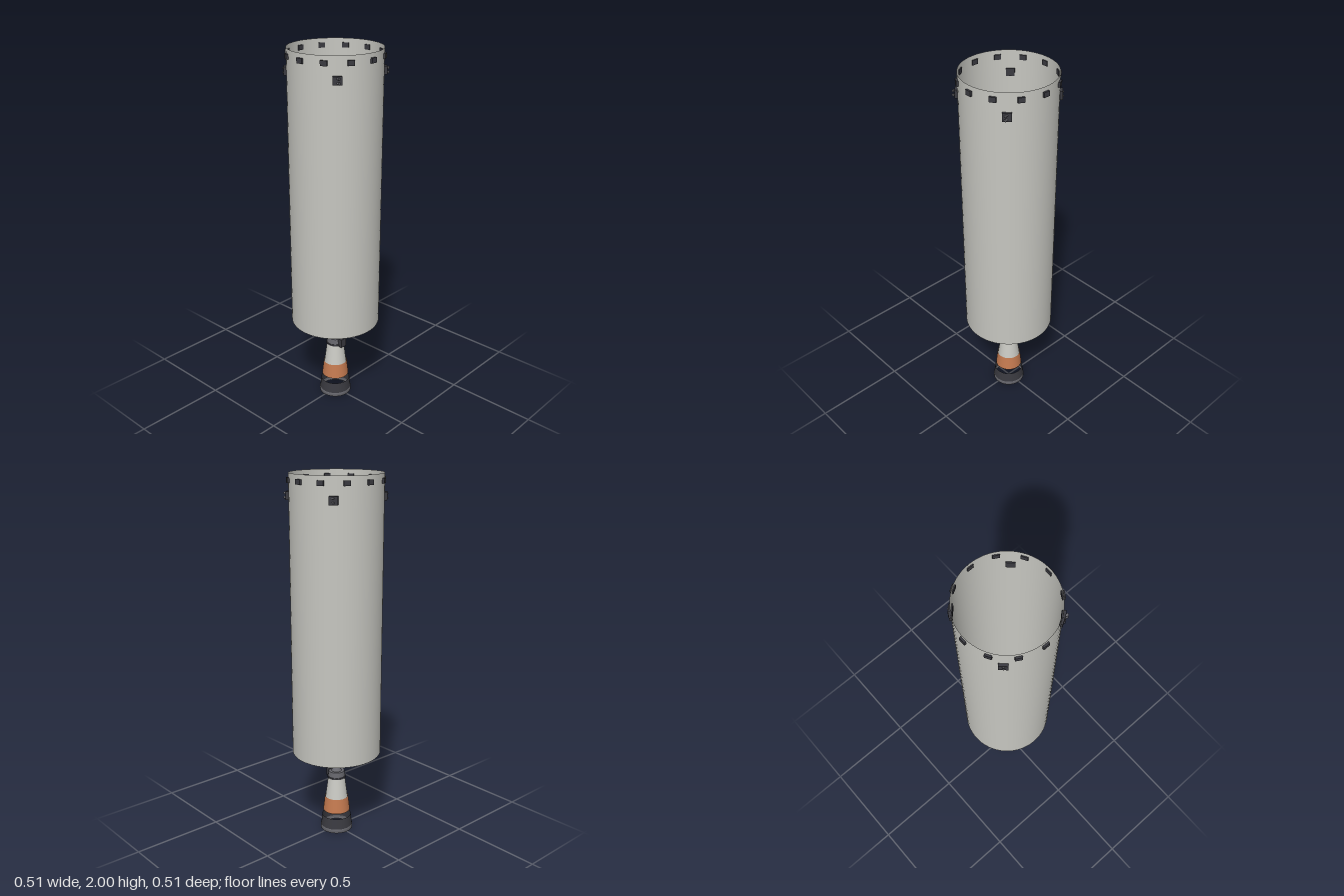
import * as THREE from 'three';

const mat = (name, color, side = THREE.DoubleSide) => {
  const m = new THREE.MeshStandardMaterial({ color, side });
  m.name = name;
  return m;
};

export function createModel() {
  const root = new THREE.Group();
  root.name = 'rocketStage';
  const hull = mat('hullGrey', 0xc6c6c0);
  const pale = mat('paleNozzle', 0xcacac4);
  const copper = mat('copper', 0xc47a50);
  const dark = mat('darkGrey', 0x3a3a40);
  const steel = mat('steelGrey', 0x66666c);

  const add = (name, geometry, material, parent = root) => {
    const mesh = new THREE.Mesh(geometry, material);
    mesh.name = name;
    parent.add(mesh);
    return mesh;
  };
  // Tapered ring or drum between two heights
  const drum = (name, rTop, rBottom, y0, y1, material, open = true, sides = 48) => {
    const g = new THREE.CylinderGeometry(rTop, rBottom, y1 - y0, sides, 1, open);
    g.translate(0, (y0 + y1) / 2, 0);
    return add(name, g, material);
  };

  // Hollow tank with a conical floor
  drum('tankWall', 0.245, 0.245, 0.478, 2, hull, true, 64);
  drum('tankFloor', 0.245, 0.001, 0.368, 0.478, hull, true, 64);

  // Engine mount
  drum('gimbalPin', 0.012, 0.012, 0.35, 0.384, steel, false, 20);
  drum('gimbalCone', 0.012, 0.03, 0.352, 0.373, steel, false, 24);
  drum('engineHead', 0.044, 0.048, 0.32, 0.353, steel, false, 32);
  drum('headFlange', 0.051, 0.051, 0.313, 0.322, dark, false, 32);
  const pump = add('turbopump', new THREE.BoxGeometry(0.034, 0.05, 0.04), dark);
  pump.position.set(0.048, 0.333, 0);

  // Nozzle: pale bell, copper band, separate dark skirt and rim
  drum('nozzleBell', 0.047, 0.073, 0.113, 0.315, pale);
  drum('copperBand', 0.066, 0.0755, 0.113, 0.197, copper);
  drum('nozzleSkirt', 0.081, 0.088, 0.02, 0.083, dark);
  const rim = new THREE.LatheGeometry(
    [[0.084, 0], [0.09, 0], [0.09, 0.02], [0.084, 0.024]].map(([r, y]) => new THREE.Vector2(r, y)), 48);
  add('nozzleRim', rim, steel);

  // Clamps evenly spaced around the upper edge
  const clampGeo = new THREE.BoxGeometry(0.034, 0.026, 0.016);
  for (let i = 0; i < 12; i++) {
    const a = (i * Math.PI) / 6;
    const clamp = add('clamp', clampGeo, dark);
    clamp.position.set(Math.sin(a) * 0.247, 1.964, Math.cos(a) * 0.247);
    clamp.rotation.y = a;
  }

  // Four thruster pods, each with two small nozzles on its outer face
  const podGeo = new THREE.BoxGeometry(0.045, 0.042, 0.02);
  const jetGeo = new THREE.CylinderGeometry(0.004, 0.007, 0.014, 16);
  jetGeo.rotateZ(Math.PI / 2);
  for (let i = 0; i < 4; i++) {
    const a = Math.PI / 4 + (i * Math.PI) / 2;
    const sx = Math.sign(Math.sin(a)), sz = Math.sign(Math.cos(a));
    const pod = add('thrusterPod', podGeo, dark);
    pod.position.set(sx * 0.1755, 1.883, sz * 0.1755);
    pod.rotation.y = a;
    for (const dy of [-0.011, 0.011]) {
      const jet = add('thrusterNozzle', jetGeo, steel);
      jet.position.set(sx * 0.183 + 0.004, 1.883 + dy, sz * 0.183);
    }
  }
  return root;
}
